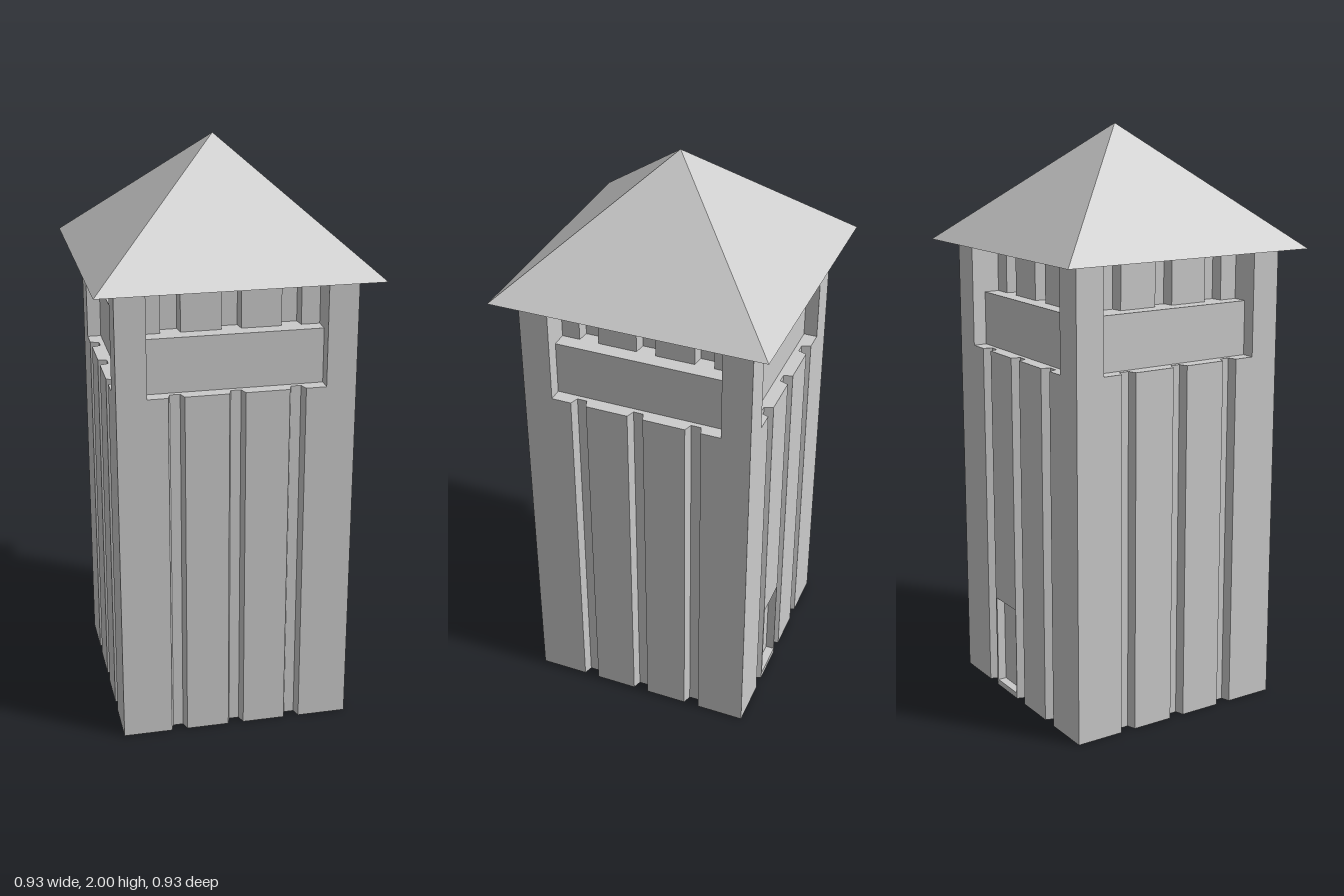
import * as THREE from 'three';

const HALF = 0.395, POST = 0.295;      // outer wall, inner edge of the corner posts
const LEDGE = 1.235, EAVES = 1.595;    // window sill and roof base heights
const GROOVE = 0.03;

const mat = new THREE.MeshStandardMaterial({ color: 0xcccccc, flatShading: true, side: THREE.DoubleSide });

function add(parent, name, geometry, x = 0, y = 0, z = 0) {
  const mesh = new THREE.Mesh(geometry, mat);
  mesh.name = name;
  mesh.position.set(x, y, z);
  parent.add(mesh);
  return mesh;
}

// Plan outline [x, z] of a boarded wall with three tapered grooves
function boards(half, z, depth, mouth, floor) {
  const pts = [[-half, z]];
  for (const c of [-0.2, 0, 0.2]) {
    pts.push([c - mouth, z], [c - floor, z - depth], [c + floor, z - depth], [c + mouth, z]);
  }
  pts.push([half, z]);
  return pts;
}

// Vertical skin following a plan outline
function skin(pts, y0, y1) {
  const v = [];
  for (let i = 0; i < pts.length - 1; i++) {
    const [ax, az] = pts[i], [bx, bz] = pts[i + 1];
    v.push(ax, y0, az, bx, y0, bz, bx, y1, bz, ax, y0, az, bx, y1, bz, ax, y1, az);
  }
  const g = new THREE.BufferGeometry();
  g.setAttribute('position', new THREE.Float32BufferAttribute(v, 3));
  g.computeVertexNormals();
  return g;
}

// Horizontal sheet bounded by a plan outline
function sheet(pts, y) {
  const shape = new THREE.Shape(pts.map(([x, z]) => new THREE.Vector2(x, z)));
  return new THREE.ShapeGeometry(shape).rotateX(Math.PI / 2).translate(0, y, 0);
}

function buildSide(hasDoor) {
  const side = new THREE.Group();
  const outer = boards(HALF, HALF, GROOVE, 0.027, 0.017);

  // Lower boarded wall, with a recessed door in one board
  if (hasDoor) {
    const x0 = -0.165, x1 = -0.03, y0 = 0.02, y1 = 0.335, zd = HALF - GROOVE;
    const recess = [[x0, HALF], [x0, zd], [x1, zd], [x1, HALF]];
    const doorway = [...outer.slice(0, 5), ...recess, ...outer.slice(5)];
    add(side, 'wallBelowDoor', skin(outer, 0, y0));
    add(side, 'wallWithDoor', skin(doorway, y0, y1));
    add(side, 'wallAboveDoor', skin(outer, y1, LEDGE));
    add(side, 'doorSill', sheet(recess, y0));
    add(side, 'doorLintel', sheet(recess, y1));
  } else {
    add(side, 'wall', skin(outer, 0, LEDGE));
  }

  // Grooved sill, inner boarded wall and parapet
  const front = boards(POST, HALF, GROOVE, 0.027, 0.017);
  add(side, 'windowSill', sheet([...front, [POST, 0.255], [-POST, 0.255]], LEDGE));
  add(side, 'innerWall', skin(boards(POST, POST, 0.04, 0.033, 0.028), LEDGE, EAVES));
  add(side, 'parapet', new THREE.BoxGeometry(2 * POST, 0.185, 0.093), 0, LEDGE + 0.0925, 0.3015);

  // Corner post
  const c = (HALF + POST) / 2;
  add(side, 'cornerPost', new THREE.BoxGeometry(HALF - POST, EAVES - LEDGE, HALF - POST),
    c, (EAVES + LEDGE) / 2, c);
  return side;
}

export function createModel() {
  const tower = new THREE.Group();
  tower.name = 'watchtower';

  ['frontSide', 'leftSide', 'backSide', 'rightSide'].forEach((name, i) => {
    const side = buildSide(i === 2);
    side.name = name;
    side.rotation.y = i * Math.PI / 2;
    tower.add(side);
  });

  // Pyramid roof with overhanging eaves
  const roof = new THREE.ConeGeometry(0.465 * Math.SQRT2, 2 - EAVES, 4).rotateY(Math.PI / 4);
  add(tower, 'roof', roof, 0, (2 + EAVES) / 2, 0);
  return tower;
}
